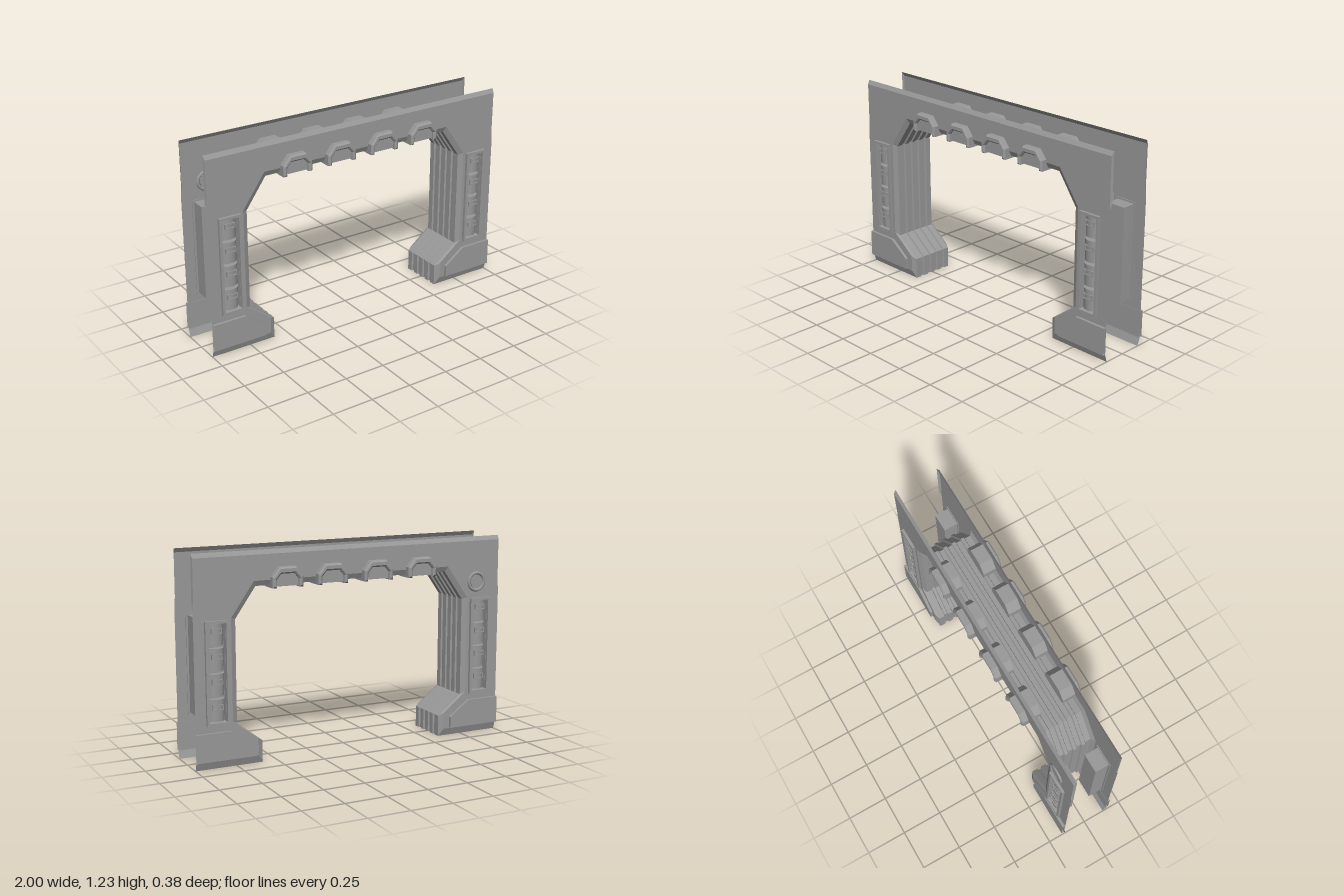
import * as THREE from 'three';

const grey = new THREE.MeshStandardMaterial({ color: 0x999999, side: THREE.DoubleSide });

function add(parent, name, geometry, x = 0, y = 0, z = 0) {
  const mesh = new THREE.Mesh(geometry, grey);
  mesh.name = name;
  mesh.position.set(x, y, z);
  parent.add(mesh);
  return mesh;
}

const toShape = (pts) => new THREE.Shape(pts.map(([x, y]) => new THREE.Vector2(x, y)));
const rect = (x0, y0, x1, y1) => [[x0, y0], [x1, y0], [x1, y1], [x0, y1]];
const mirrorLoop = (half) => [...half, ...half.map(([x, ...rest]) => [-x, ...rest]).reverse()];

// Extrudes an outline from z0 to z1, with optional hole and bevel
function slab(pts, z0, z1, hole, bevel = 0) {
  const shape = toShape(pts);
  if (hole) shape.holes.push(toShape(hole));
  const geo = new THREE.ExtrudeGeometry(shape, {
    depth: z1 - z0 - 2 * bevel, bevelEnabled: bevel > 0, bevelSegments: 1,
    bevelSize: bevel, bevelThickness: bevel, bevelOffset: -bevel,
  });
  return geo.translate(0, 0, z0 + bevel);
}

// Flat-faced strip of quads between consecutive rows of points
function quadRows(rows, closed = false) {
  const pos = [];
  for (let r = 0; r + 1 < rows.length; r++) {
    const a = rows[r], b = rows[r + 1];
    const n = closed ? a.length : a.length - 1;
    for (let i = 0; i < n; i++) {
      const j = (i + 1) % a.length;
      pos.push(...a[i], ...a[j], ...b[j], ...a[i], ...b[j], ...b[i]);
    }
  }
  const geo = new THREE.BufferGeometry();
  geo.setAttribute('position', new THREE.Float32BufferAttribute(pos, 3));
  geo.computeVertexNormals();
  return geo;
}

// Inside of the arch: a band with four long grooves
function archLining() {
  const path = mirrorLoop([[0.59, 0], [0.59, 0.13], [0.745, 0.25], [0.745, 0.85], [0.62, 1.027]]);
  const section = [[-0.135, 0]];
  for (const z of [-0.085, -0.028, 0.028, 0.085]) {
    section.push([z - 0.014, 0], [z - 0.01, 0.01], [z + 0.01, 0.01], [z + 0.014, 0]);
  }
  section.push([0.135, 0]);
  const normal = (a, b) => new THREE.Vector2(b[1] - a[1], a[0] - b[0]).normalize();
  const rows = section.map(([z, depth]) => path.map((p, i) => {
    const n0 = normal(path[Math.max(i - 1, 0)], path[Math.max(i, 1)]);
    const n1 = normal(path[Math.min(i, path.length - 2)], path[Math.min(i + 1, path.length - 1)]);
    const m = n0.clone().add(n1).divideScalar(1 + n0.dot(n1));
    return [p[0] + m.x * depth, p[1] + m.y * depth, z];
  }));
  return quadRows(rows);
}

// Wall plate with bevelled borders and a cut-out for each lamp box
function wallPanel(parent) {
  const rim = mirrorLoop([
    [0.62, 1.027, 0.135], [0.745, 0.85, 0.135], [0.745, 0.25, 0.135], [0.59, 0.13, 0.135],
    [0.59, 0, 0.135], [1, 0, 0.135], [1, 0.045, 0.15], [1, 0.9, 0.15], [1, 0.95, 0.135], [1, 1.23, 0.135],
  ]);
  const face = mirrorLoop([
    [0.635, 1.058, 0.15], [0.775, 0.86, 0.15], [0.775, 0.265, 0.15], [0.62, 0.145, 0.15],
    [0.62, 0.045, 0.15], [1, 0.045, 0.15], [1, 0.045, 0.15], [1, 0.9, 0.15], [0.995, 0.95, 0.15], [0.995, 1.205, 0.15],
  ]);
  add(parent, 'panelBevel', quadRows([rim, face], true));
  const outline = face.filter((p, i) => i === 0 || p[0] !== face[i - 1][0] || p[1] !== face[i - 1][1]);
  const shape = toShape(outline);
  for (const s of [-1, 1]) {
    shape.holes.push(toShape(rect(s * 0.865 - 0.053, 0.272, s * 0.865 + 0.053, 0.838)));
  }
  add(parent, 'panelFace', new THREE.ShapeGeometry(shape).translate(0, 0, 0.15));
}

// Recessed box with four rounded lamps
function lampBox() {
  const box = new THREE.Group();
  box.name = 'lampBox';
  const opening = rect(-0.054, 0.272, 0.054, 0.838);
  add(box, 'lampFrame', slab(rect(-0.07, 0.255, 0.07, 0.853), 0.145, 0.167, opening));
  add(box, 'lampHousing', slab(rect(-0.058, 0.268, 0.058, 0.842), 0.06, 0.147, opening));
  add(box, 'lampBack', new THREE.BoxGeometry(0.11, 0.568, 0.055), 0, 0.555, 0.0885);
  for (let i = 0; i < 4; i++) {
    const y = 0.341 + i * 0.145;
    const lens = new THREE.CylinderGeometry(0.053, 0.05, 0.128, 20, 1, false, -Math.PI / 2, Math.PI);
    add(box, 'lamp', lens.scale(1, 1, 0.8), 0, y, 0.115);
    add(box, 'lampWindow', slab(rect(-0.032, -0.016, 0.032, 0.016), 0.14, 0.16,
      rect(-0.026, -0.011, 0.026, 0.011)), 0, y + 0.019);
  }
  return box;
}

// Hooded bracket hanging over the lintel edge
function bracket() {
  const group = new THREE.Group();
  group.name = 'bracket';
  const outer = mirrorLoop([[0.095, 1.012], [0.095, 1.075], [0.052, 1.13]]);
  const inner = mirrorLoop([[0.07, 1.012], [0.07, 1.06], [0.042, 1.092]]);
  add(group, 'bracketBase', slab(outer, 0.07, 0.11));
  add(group, 'bracketHood', slab([...outer, ...inner.reverse()], 0.095, 0.19, null, 0.009));
  add(group, 'bracketCore', slab(mirrorLoop([[0.075, 1.02], [0.075, 1.065], [0.046, 1.1]]), 0.1, 0.17));
  return group;
}

// Everything on one face of the gateway; dir is -1 when the face is turned to the back
function gatewaySide(name, dir) {
  const side = new THREE.Group();
  side.name = name;
  wallPanel(side);
  for (const s of [-1, 1]) {
    const box = lampBox();
    box.position.x = s * 0.865;
    side.add(box);
    // Raised foot plate, open at the outer end
    const plate = [[1, 0.215], [0.79, 0.215], [0.66, 0.12], [0.66, 0.05], [1, 0.05]].map(([x, y]) => [s * x, y]);
    add(side, 'footPlateFace', new THREE.ShapeGeometry(toShape(plate)).translate(0, 0, 0.167));
    add(side, 'footPlateEdge', quadRows([0.148, 0.167].map((z) => plate.map(([x, y]) => [x, y, z]))));
  }
  for (const x of [-0.437, -0.141, 0.155, 0.44]) {
    const b = bracket();
    b.position.x = dir * x;
    side.add(b);
  }
  return side;
}

export function createModel() {
  const model = new THREE.Group();
  model.name = 'gateway';
  add(model, 'archLining', archLining());

  const front = gatewaySide('frontSide', 1);
  const back = gatewaySide('backSide', -1);
  back.rotation.y = Math.PI;

  // Round port on the back only
  add(back, 'portRing', new THREE.TorusGeometry(0.053, 0.01, 8, 32), 0.838, 0.954, 0.151);
  const disc = new THREE.CylinderGeometry(0.042, 0.042, 0.012, 32).rotateX(Math.PI / 2);
  add(back, 'portDisc', disc, 0.838, 0.954, 0.15);

  model.add(front, back);
  return model;
}
